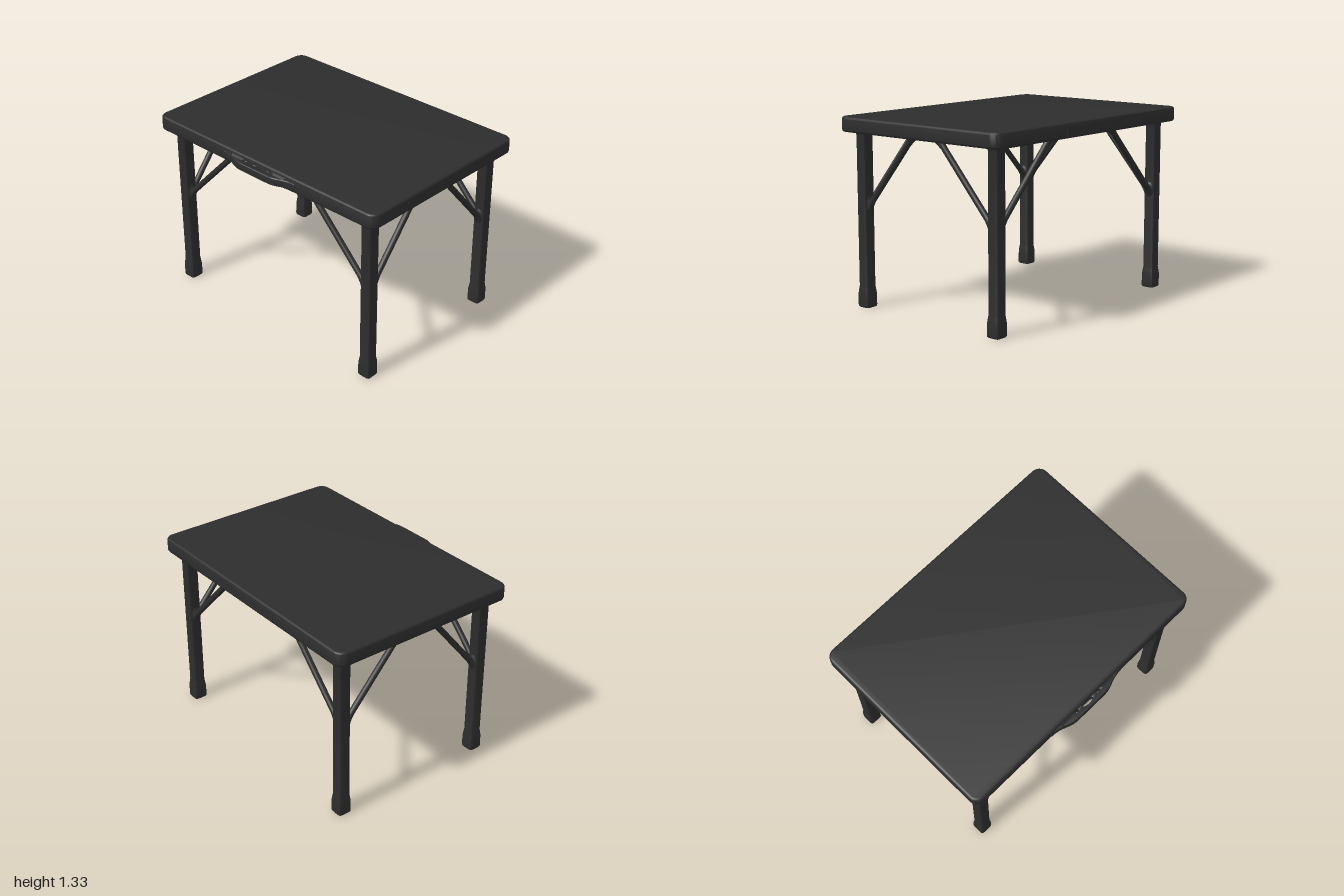
import * as THREE from 'three';
import { toCreasedNormals } from 'three/addons/utils/BufferGeometryUtils.js';

export function createModel() {
  const model = new THREE.Group();
  model.name = 'foldingTable';
  const plastic = new THREE.MeshStandardMaterial({ color: 0x2d2d2d });
  plastic.name = 'charcoalPlastic';

  function add(name, geometry, crease = 0.7) {
    const mesh = new THREE.Mesh(toCreasedNormals(geometry, crease), plastic);
    mesh.name = name;
    model.add(mesh);
    return mesh;
  }

  // Lathe squared off by a superellipse rule; profile is [half width, height]
  function squareLathe(profile, power) {
    const geo = new THREE.LatheGeometry(profile.map(p => new THREE.Vector2(...p)), 32);
    const pos = geo.attributes.position;
    for (let i = 0; i < pos.count; i++) {
      const a = Math.atan2(pos.getX(i), pos.getZ(i));
      const k = Math.pow(Math.abs(Math.cos(a)) ** power + Math.abs(Math.sin(a)) ** power, -1 / power);
      pos.setX(i, pos.getX(i) * k);
      pos.setZ(i, pos.getZ(i) * k);
    }
    return geo;
  }

  // Table top: rounded rectangle with softened edges
  const b = 0.018, hx = 1 - b, hz = 0.71 - b, r = 0.05;
  const outline = new THREE.Shape();
  outline.moveTo(-hx + r, -hz);
  outline.lineTo(hx - r, -hz);
  outline.absarc(hx - r, -hz + r, r, -Math.PI / 2, 0);
  outline.lineTo(hx, hz - r);
  outline.absarc(hx - r, hz - r, r, 0, Math.PI / 2);
  outline.lineTo(-hx + r, hz);
  outline.absarc(-hx + r, hz - r, r, Math.PI / 2, Math.PI);
  outline.lineTo(-hx, -hz + r);
  outline.absarc(-hx + r, -hz + r, r, Math.PI, Math.PI * 1.5);
  const topGeo = new THREE.ExtrudeGeometry(outline, {
    depth: 0.105 - 2 * b, bevelThickness: b, bevelSize: b, bevelSegments: 4, curveSegments: 8,
  });
  topGeo.rotateX(-Math.PI / 2).translate(0, 1.225 + b, -0.025);
  add('tableTop', topGeo);

  // Slim ridge on the back edge
  add('backRidge', new THREE.BoxGeometry(0.62, 0.06, 0.008)).position.set(0, 1.275, -0.734);

  // Carry handle on the front edge, with finger holes
  const grip = new THREE.Shape();
  grip.moveTo(-0.32, 0.66);
  grip.lineTo(0.32, 0.66);
  grip.lineTo(0.32, 0.682);
  grip.bezierCurveTo(0.22, 0.685, 0.2, 0.727, 0.12, 0.727);
  grip.lineTo(-0.12, 0.727);
  grip.bezierCurveTo(-0.2, 0.727, -0.22, 0.685, -0.32, 0.682);
  for (const [x, z, rx, rz] of [[0, 0.697, 0.052, 0.021], [-0.1, 0.692, 0.024, 0.014], [0.1, 0.692, 0.024, 0.014]]) {
    const hole = new THREE.Path();
    hole.absellipse(x, z, rx, rz, 0, Math.PI * 2, true);
    grip.holes.push(hole);
  }
  const gripGeo = new THREE.ExtrudeGeometry(grip, {
    depth: 0.04, bevelThickness: 0.008, bevelSize: 0.007, bevelSegments: 3, curveSegments: 10,
  });
  gripGeo.rotateX(Math.PI / 2).translate(0, 1.29, 0);
  add('handle', gripGeo);

  // Flared handle roots at both ends
  for (const s of [-1, 1]) {
    const root = new THREE.CylinderGeometry(0.035, 0.058, 0.025, 4, 1).rotateY(Math.PI / 4);
    root.rotateX(Math.PI / 2).scale(1.6, 1, 1);
    add('handleRoot', root).position.set(s * 0.19, 1.27, 0.692);
  }

  // Leg profile: boot at the floor, plain post, small flare under the top
  const legProfile = [[0, 0], [0.043, 0], [0.049, 0.006], [0.05, 0.015], [0.049, 0.1], [0.045, 0.13],
    [0.042, 0.15], [0.042, 1.2], [0.046, 1.214], [0.062, 1.222], [0.064, 1.24]];

  // Round brace between two points, flaring at its ends
  const up = new THREE.Vector3(0, 1, 0);
  function brace(from, to) {
    const dir = to.clone().sub(from), n = dir.length();
    const profile = [[0.034, 0], [0.026, 0.03], [0.021, 0.07], [0.021, n - 0.07], [0.026, n - 0.03], [0.034, n]];
    const geo = new THREE.LatheGeometry(profile.map(p => new THREE.Vector2(...p)), 16);
    const mesh = add('brace', geo);
    mesh.quaternion.setFromUnitVectors(up, dir.normalize());
    mesh.position.copy(from);
    // Fillet pad against the underside
    const pad = add('bracePad', new THREE.CylinderGeometry(0.068, 0.04, 0.014, 20));
    pad.position.set(to.x, 1.22, to.z);
    // Fillet pad against the leg
    const out = new THREE.Vector3(dir.x, 0, dir.z).normalize();
    const collarGeo = new THREE.CylinderGeometry(0.022, 0.036, 0.014, 16);
    collarGeo.applyQuaternion(new THREE.Quaternion().setFromUnitVectors(up, out)).scale(1, 1.7, 1);
    add('braceCollar', collarGeo).position.set(from.x, 0.73, from.z).addScaledVector(out, 0.016);
  }

  // Four legs, each with one sideways and one lengthways brace
  for (const sx of [-1, 1]) {
    for (const [z, innerZ, endZ] of [[0.565, 0.535, 0.105], [-0.615, -0.585, -0.125]]) {
      const x = sx * 0.87;
      add('leg', squareLathe(legProfile, 7)).position.set(x, 0, z);
      brace(new THREE.Vector3(sx * 0.84, 0.71, z), new THREE.Vector3(sx * 0.335, 1.228, z));
      brace(new THREE.Vector3(x, 0.705, innerZ), new THREE.Vector3(x, 1.228, endZ));
    }
  }
  return model;
}
